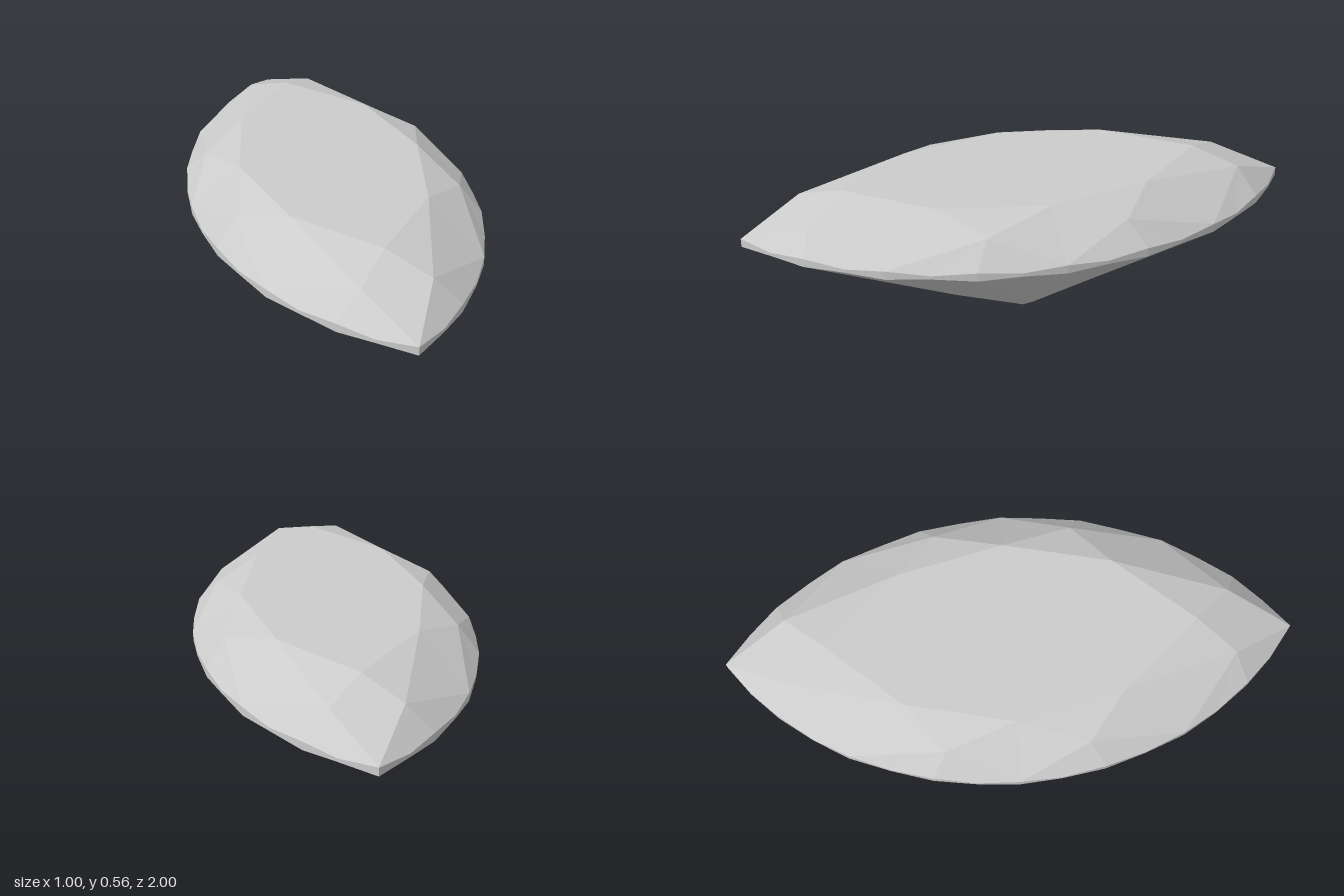
import * as THREE from 'three';

// Girdle outline for one quadrant as [x, z], from the pointed end to the side
const OUTLINE = [[0, 1], [0.11, 0.915], [0.203, 0.82], [0.295, 0.7], [0.366, 0.58],
  [0.423, 0.438], [0.466, 0.295], [0.491, 0.147], [0.5, 0]];

// Mirror a quadrant of 'last' steps into the full ring (4 * last positions)
function mirrored(quadrant, i, last = 8) {
  const n = ((i % (4 * last)) + 4 * last) % (4 * last);
  const q = Math.floor(n / last);
  const r = n % last;
  const [x, z] = quadrant[q % 2 ? last - r : r];
  return [q < 2 ? x : -x, q === 0 || q === 3 ? z : -z];
}

function ringPoint(quadrant, i, y, last, scale = 1) {
  const [x, z] = mirrored(quadrant, i, last);
  return [x * scale, y, z * scale];
}

// Flat facets, each polygon fanned from its first corner (counter-clockwise)
function facetMesh(name, polygons) {
  const positions = [];
  for (const p of polygons) {
    for (let k = 1; k < p.length - 1; k++) positions.push(...p[0], ...p[k], ...p[k + 1]);
  }
  const geometry = new THREE.BufferGeometry();
  geometry.setAttribute('position', new THREE.Float32BufferAttribute(positions, 3));
  geometry.computeVertexNormals();
  const mesh = new THREE.Mesh(geometry,
    new THREE.MeshStandardMaterial({ color: 0xcccccc, flatShading: true }));
  mesh.name = name;
  return mesh;
}

export function createModel() {
  const group = new THREE.Group();
  group.name = 'marquiseGem';

  // Scalloped girdle: thick at even points, thin at odd points
  const top = (i) => ringPoint(OUTLINE, i, i % 2 ? 0.42 : 0.43, 8);
  const bottom = (i) => ringPoint(OUTLINE, i, i % 2 ? 0.408 : 0.4, 8);

  // Table corners, one every four girdle points
  const table = (m) => ringPoint(OUTLINE, m * 4, 0.565, 8, 0.65);

  // Star tips, halfway between table corners
  const STAR = [[0.117, 0.78], [0.4, 0.245]];
  const star = (m) => {
    const q = ((m % 8) + 8) % 8;
    const [x, z] = STAR[(q >> 1) % 2 ? 1 - (q % 2) : q % 2];
    return [q < 4 ? x : -x, 0.515, q < 2 || q > 5 ? z : -z];
  };

  // Lower pavilion corners around the culet
  const low = (m) => ringPoint(OUTLINE, m * 4, m % 2 ? 0.098 : 0.085, 8, m % 2 ? 0.25 : 0.257);
  const culet = [0, 0, 0];

  const stars = [], kites = [], upperHalves = [], girdle = [], lowerHalves = [], mains = [];
  for (let m = 0; m < 8; m++) {
    const g = m * 4;
    stars.push([star(m), table(m + 1), table(m)]);
    kites.push([table(m), star(m - 1), top(g), star(m)]);
    mains.push([culet, bottom(g + 2), low(m)], [culet, low(m + 1), bottom(g + 2)]);
    for (const s of [g, g + 2]) {
      upperHalves.push([star(m), top(s), top(s + 1), top(s + 2)]);
      lowerHalves.push([low(s === g ? m : m + 1), bottom(s + 2), bottom(s + 1), bottom(s)]);
    }
  }
  for (let i = 0; i < 32; i++) girdle.push([bottom(i), bottom(i + 1), top(i + 1), top(i)]);

  const tableFace = Array.from({ length: 8 }, (_, m) => table(m));
  group.add(
    facetMesh('table', [tableFace]),
    facetMesh('starFacets', stars),
    facetMesh('kiteFacets', kites),
    facetMesh('upperHalfFacets', upperHalves),
    facetMesh('girdle', girdle),
    facetMesh('lowerHalfFacets', lowerHalves),
    facetMesh('pavilionMainFacets', mains),
  );
  return group;
}
